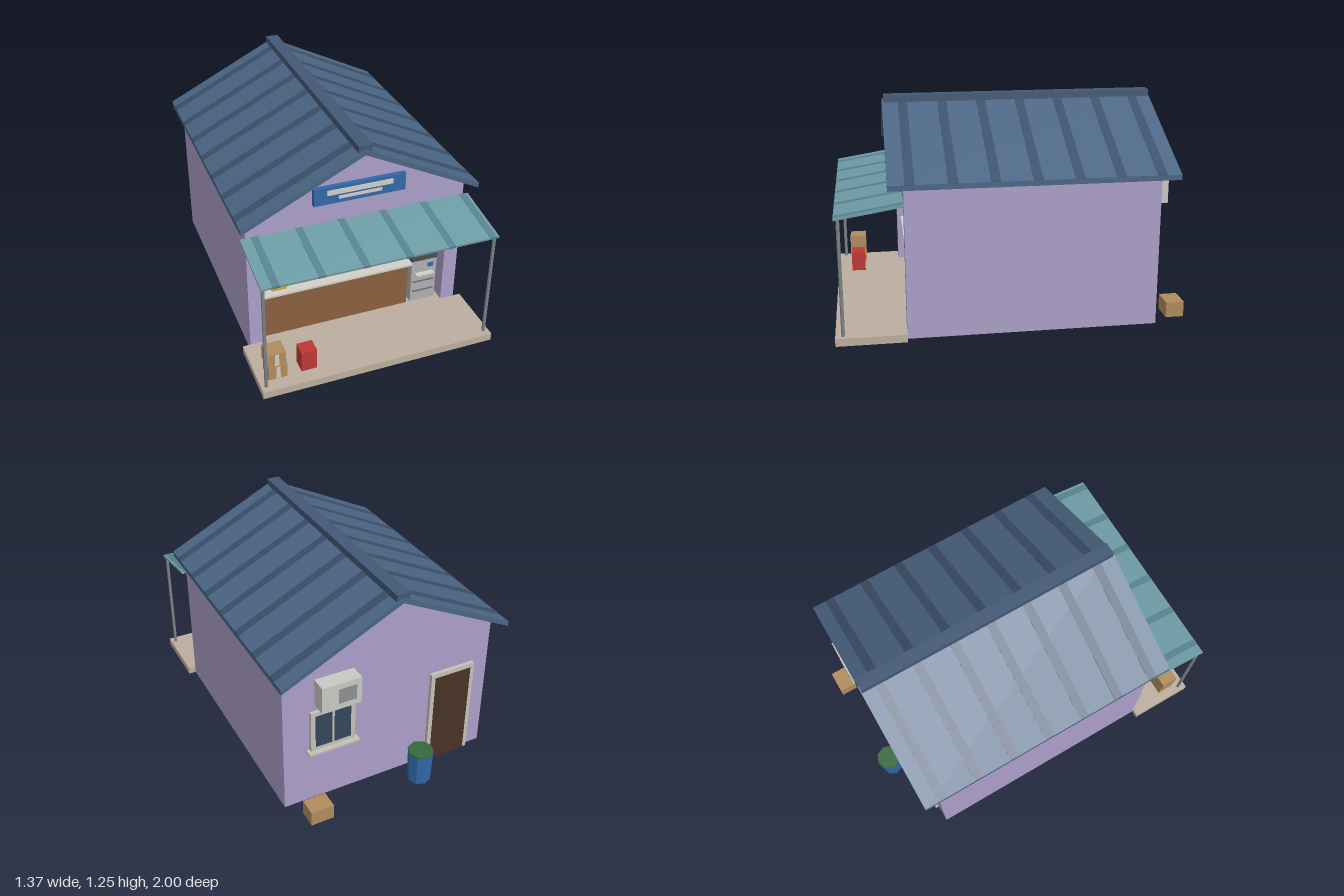
import * as THREE from 'three';

const mats = {};
const mat = (color, double = false) => (mats[color + '_' + double] ??= new THREE.MeshStandardMaterial({
  color, flatShading: true, side: double ? THREE.DoubleSide : THREE.FrontSide }));

const WALL = 0xab9fc8, ROOF = 0x4b6584, ROOF_DARK = 0x3b506b, RIDGE = 0x425874, CREAM = 0xd0cab8;
const STONE = 0xbcae9f, WOOD = 0x8a6040, PLANK = 0xb08d63, CARTON = 0xb08c5c, FRAME = 0xc4c2b6;
const YELLOW = 0xd0ae45, PINK = 0xcc5c92, BLUE = 0x468bc4, WHITE = 0xd2cfc6;

function add(parent, name, geometry, color, double) {
  const mesh = new THREE.Mesh(geometry, mat(color, double));
  mesh.name = name;
  parent.add(mesh);
  return mesh;
}

// box from its limits on each axis
function box(parent, name, color, [x0, x1], [y0, y1], [z0, z1]) {
  const mesh = add(parent, name, new THREE.BoxGeometry(x1 - x0, y1 - y0, z1 - z0), color);
  mesh.position.set((x0 + x1) / 2, (y0 + y1) / 2, (z0 + z1) / 2);
  return mesh;
}

function group(parent, name) {
  const g = new THREE.Group();
  g.name = name;
  parent.add(g);
  return g;
}

// flat outline from x, y pairs
const outline = (pts) => new THREE.Shape(pts.map(([x, y]) => new THREE.Vector2(x, y)));

// inverted V running along z, used for the roof and its bands
function chevron(lift, thick, depth) {
  const e = 0.885 + lift, a = 1.225 + lift;
  return new THREE.ExtrudeGeometry(outline([[-0.685, e - thick], [0, a - thick], [0.685, e - thick],
    [0.685, e], [0, a], [-0.685, e]]), { depth, bevelEnabled: false });
}

function buildHouse(root) {
  const house = group(root, 'house');
  const gable = [[0.64, 0], [0.64, 0.877], [0, 1.195], [-0.64, 0.877], [-0.64, 0]];
  add(house, 'backWall', new THREE.ShapeGeometry(outline(gable)), WALL, true).position.z = -0.8;
  // front wall with the shop opening cut out of its lower edge
  add(house, 'frontWall', new THREE.ShapeGeometry(outline([...gable,
    [-0.555, 0], [-0.555, 0.705], [0.555, 0.705], [0.555, 0]])), WALL, true).position.z = 0.61;
  for (const s of [-1, 1]) {
    const side = add(house, 'sideWall', new THREE.PlaneGeometry(1.41, 0.877), WALL, true);
    side.position.set(s * 0.64, 0.4385, -0.095);
    side.rotation.y = s * Math.PI / 2;
    const jamb = add(house, 'openingJamb', new THREE.PlaneGeometry(0.29, 0.705), WALL, true);
    jamb.position.set(s * 0.555, 0.3525, 0.465);
    jamb.rotation.y = -s * Math.PI / 2;
  }
  add(house, 'partition', new THREE.PlaneGeometry(1.28, 0.705), WALL, true).position.set(0, 0.3525, 0.32);
  add(house, 'shopBackWall', new THREE.PlaneGeometry(1.11, 0.66), CREAM).position.set(0, 0.375, 0.324);
  const ceiling = add(house, 'shopCeiling', new THREE.PlaneGeometry(1.28, 0.29), CREAM, true);
  ceiling.position.set(0, 0.705, 0.465);
  ceiling.rotation.x = Math.PI / 2;
  box(house, 'rolledShutter', 0x808488, [-0.555, 0.555], [0.635, 0.704], [0.53, 0.6]);
  box(house, 'porchFloor', STONE, [-0.685, 0.685], [0, 0.045], [0.61, 1]);
  box(house, 'shopFloor', STONE, [-0.555, 0.555], [0, 0.045], [0.322, 0.61]);

  // roof with darker bands and a ridge cap
  add(house, 'roof', chevron(0, 0.03, 1.59), ROOF).position.z = -0.895;
  for (let i = 0; i < 7; i++)
    add(house, 'roofBand', chevron(0.002, 0.004, 0.053), ROOF_DARK).position.z = -0.814 + i * 0.2275;
  box(house, 'ridgeCap', RIDGE, [-0.038, 0.038], [1.207, 1.247], [-0.89, 0.685]);

  // blank sign board
  const sign = group(house, 'sign');
  box(sign, 'signBoard', 0x3268a8, [-0.265, 0.265], [0.9, 1.005], [0.61, 0.635]);
  box(sign, 'signStripe', WHITE, [-0.19, 0.19], [0.955, 0.985], [0.635, 0.639]);
  box(sign, 'signStripe', WHITE, [-0.125, 0.125], [0.925, 0.943], [0.635, 0.639]);
}

function buildAwning(root) {
  const awning = group(root, 'awning');
  awning.position.set(0, 0.739, 0.795);
  awning.rotation.x = 0.161;
  box(awning, 'awningSheet', 0x6d9ba5, [-0.67, 0.67], [-0.006, 0.006], [-0.1875, 0.1875]);
  for (let i = 0; i < 6; i++) {
    const x = -0.59 + i * 0.245;
    box(awning, 'awningBand', 0x56838f, [x - 0.02, x + 0.02], [-0.007, 0.0075], [-0.188, 0.188]);
  }
  for (const s of [-1, 1])
    add(root, 'awningPost', new THREE.CylinderGeometry(0.01, 0.01, 0.665, 8), 0x7b8286)
      .position.set(s * 0.655, 0.3775, 0.957);
}

function buildShop(root) {
  const shop = group(root, 'shopInterior');
  box(shop, 'counter', WOOD, [-0.545, 0.345], [0.045, 0.323], [0.43, 0.57]);
  box(shop, 'counterTop', WHITE, [-0.555, 0.365], [0.323, 0.335], [0.415, 0.588]);
  for (const y of [0.175, 0.32, 0.47])
    box(shop, 'shelf', PLANK, [-0.525, 0.525], [y, y + 0.01], [0.324, 0.41]);

  // goods as [left, right, height, color] on each shelf
  const goods = {
    0.48: [[-0.51, -0.42, 0.05, YELLOW], [-0.395, -0.325, 0.07, WHITE], [-0.3, -0.23, 0.07, BLUE],
      [-0.2, -0.09, 0.06, YELLOW], [-0.065, 0.01, 0.088, BLUE], [0.035, 0.13, 0.06, PINK],
      [0.155, 0.258, 0.085, YELLOW], [0.28, 0.37, 0.085, YELLOW], [0.395, 0.5, 0.065, PINK]],
    0.33: [[-0.48, -0.4, 0.07, WHITE], [-0.39, -0.295, 0.055, WHITE], [-0.275, -0.18, 0.07, WHITE],
      [-0.16, -0.055, 0.075, BLUE], [-0.03, 0.05, 0.06, WHITE], [0.07, 0.175, 0.07, WHITE],
      [0.195, 0.288, 0.073, YELLOW], [0.31, 0.41, 0.073, PINK]],
  };
  for (const [y, row] of Object.entries(goods))
    for (const [x0, x1, h, c] of row) box(shop, 'goods', c, [x0, x1], [+y, +y + h], [0.335, 0.4]);

  // small stack on the counter
  [YELLOW, WHITE, PINK].forEach((c, i) =>
    box(shop, 'counterStack', c, [-0.483, -0.397], [0.335 + i * 0.02, 0.355 + i * 0.02], [0.485, 0.55]));

  // office machine
  const machine = group(shop, 'copier');
  box(machine, 'copierBody', 0xaeafb0, [0.37, 0.53], [0.045, 0.337], [0.42, 0.57]);
  box(machine, 'copierLid', 0x494c50, [0.367, 0.53], [0.337, 0.365], [0.415, 0.575]);
  box(machine, 'copierFeeder', WHITE, [0.385, 0.51], [0.365, 0.375], [0.44, 0.55]);
  box(machine, 'copierScreen', 0x3268a8, [0.472, 0.508], [0.28, 0.307], [0.57, 0.575]);
  box(machine, 'paperTray', WHITE, [0.392, 0.506], [0.241, 0.249], [0.57, 0.6]);
  for (const y of [0.112, 0.18]) box(machine, 'drawerSlot', 0x6b6d70, [0.382, 0.517], [y, y + 0.009], [0.57, 0.574]);
}

function buildPorchGoods(root) {
  // two stacked cartons with tape, and a red crate
  [[-0.522, 0.045], [-0.528, 0.132]].forEach(([x, y]) => {
    const carton = group(root, 'carton');
    box(carton, 'cartonBody', CARTON, [x - 0.108, x], [y, y + 0.086], [0.82, 0.92]);
    box(carton, 'cartonTape', CREAM, [x - 0.064, x - 0.04], [y + 0.005, y + 0.08], [0.92, 0.923]);
  });
  box(root, 'redCrate', 0xbe3734, [-0.44, -0.35], [0.045, 0.172], [0.83, 0.915]);
}

function buildBack(root) {
  const back = group(root, 'backFittings');
  // door in its frame
  box(back, 'doorFrame', FRAME, [-0.54, -0.26], [0, 0.61], [-0.822, -0.8]);
  box(back, 'door', 0x493225, [-0.515, -0.285], [0, 0.583], [-0.825, -0.81]);
  // window with two panes and a sill
  box(back, 'windowFrame', FRAME, [0.22, 0.485], [0.355, 0.61], [-0.82, -0.8]);
  for (const x of [0.247, 0.36]) box(back, 'windowPane', 0x34465a, [x, x + 0.098], [0.38, 0.585], [-0.823, -0.81]);
  box(back, 'windowSill', FRAME, [0.2, 0.505], [0.343, 0.356], [-0.845, -0.8]);
  // air conditioner
  box(back, 'airConditioner', 0xc9c9c3, [0.23, 0.46], [0.66, 0.82], [-0.9, -0.81]);
  box(back, 'airConditionerGrille', 0x8c9092, [0.26, 0.365], [0.695, 0.785], [-0.903, -0.89]);
  box(back, 'airConditionerBracket', 0xc9c9c3, [0.27, 0.42], [0.7, 0.78], [-0.82, -0.8]);

  // open-bottomed carton: skip the lower face of the box
  const carton = box(back, 'backCarton', CARTON, [0.435, 0.57], [0, 0.09], [-0.99, -0.885]);
  const index = [...carton.geometry.index.array];
  index.splice(18, 6);
  carton.geometry.setIndex(index);
  carton.geometry.clearGroups();
  carton.material = mat(CARTON, true);

  // eight-sided bin with a green lid
  add(back, 'bin', new THREE.CylinderGeometry(0.073, 0.066, 0.195, 8, 1, true), 0x3268a8, true)
    .position.set(-0.147, 0.0975, -0.926);
  add(back, 'binLid', new THREE.CylinderGeometry(0.074, 0.074, 0.008, 8), 0x34683c)
    .position.set(-0.147, 0.199, -0.926);
}

export function createModel() {
  const root = new THREE.Group();
  root.name = 'cornerShop';
  buildHouse(root);
  buildAwning(root);
  buildShop(root);
  buildPorchGoods(root);
  buildBack(root);
  return root;
}
